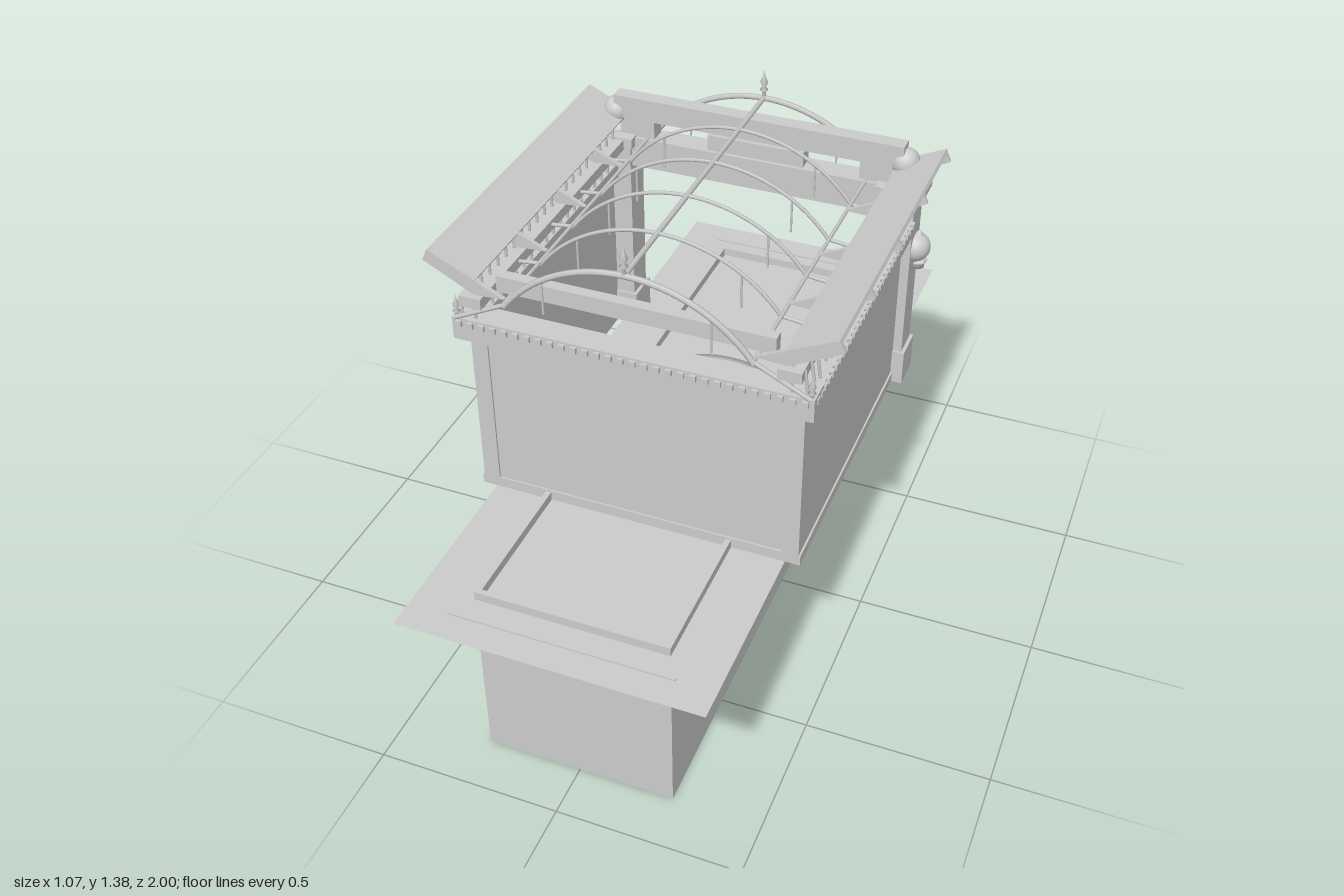
import * as THREE from 'three';

const grey = new THREE.MeshStandardMaterial({ color: 0xcccccc, side: THREE.DoubleSide });

export function createModel() {
  const model = new THREE.Group();
  const add = (name, geo, x = 0, y = 0, z = 0, parent = model) => {
    const m = new THREE.Mesh(geo, grey);
    m.name = name;
    m.position.set(x, y, z);
    parent.add(m);
    return m;
  };
  // box given by its limits on each axis
  const box = (name, x0, x1, y0, y1, z0, z1) =>
    add(name, new THREE.BoxGeometry(Math.abs(x1 - x0), y1 - y0, z1 - z0), (x0 + x1) / 2, (y0 + y1) / 2, (z0 + z1) / 2);
  const rod = (name, a, b, r, sides = 6) => {
    const p = new THREE.Vector3(...a), d = new THREE.Vector3(...b).sub(p);
    const m = add(name, new THREE.CylinderGeometry(r, r, d.length(), sides));
    m.position.copy(p).addScaledVector(d, 0.5);
    m.quaternion.setFromUnitVectors(new THREE.Vector3(0, 1, 0), d.normalize());
    return m;
  };
  const lathe = (name, pts, x, y, z, sides = 16) =>
    add(name, new THREE.LatheGeometry(pts.map(p => new THREE.Vector2(...p)), sides), x, y, z);
  const finial = (x, y, z, s = 1) =>
    lathe('finial', [[0.006, 0], [0.006, 0.015], [0.012, 0.02], [0.005, 0.028], [0.011, 0.042], [0.004, 0.06], [0, 0.08]]
      .map(p => [p[0] * s, p[1] * s]), x, y, z, 8);

  const floorY = 0.52, sides = [-1, 1];

  // ground sheet and the open-bottomed pit whose walls rise as a kerb
  const sheet = add('groundSheet', new THREE.PlaneGeometry(0.81, 2), 0, floorY, 0);
  sheet.rotation.x = -Math.PI / 2;
  for (const s of sides) {
    box('pitSideWall', s * 0.245, s * 0.26, 0, 0.545, -0.855, 0.855);
    box('pitEndWall', -0.245, 0.245, 0, 0.545, s > 0 ? 0.84 : -0.855, s > 0 ? 0.855 : -0.84);
    box('groundStrip', -0.3, 0.3, floorY, floorY + 0.004, s * 0.92 - 0.004, s * 0.92 + 0.004);
    box('pitLedge', s * 0.205, s * 0.245, 0.36, 0.38, -0.84, 0.84);
    for (const z of [-0.3, 0.25]) box('pitBracket', s * 0.18, s * 0.245, 0.43, 0.45, z - 0.12, z + 0.12);
    rod('ladderRail', [s * 0.05, 0.03, 0.825], [s * 0.05, 0.5, 0.825], 0.005);
  }
  for (let i = 0; i < 7; i++) rod('ladderRung', [-0.05, 0.08 + i * 0.065, 0.825], [0.05, 0.08 + i * 0.065, 0.825], 0.004);

  // round grille on the floor
  lathe('grilleRim', [[0.225, 0.525], [0.25, 0.525], [0.25, 0.575], [0.225, 0.575], [0.225, 0.525]], 0, 0, 0, 40);
  for (const r of [0.03, 0.07, 0.105, 0.14, 0.185]) {
    const ring = add('grilleRing', new THREE.TorusGeometry(r, 0.003, 4, 36), 0, 0.56, 0);
    ring.rotation.x = Math.PI / 2;
  }
  for (let i = 0; i < 12; i++) {
    const a = i * Math.PI / 6;
    rod('grilleSpoke', [0, 0.56, 0], [0.23 * Math.cos(a), 0.56, 0.23 * Math.sin(a)], 0.003, 4);
  }

  // walls, baseboards and cornice; the back stays open
  box('frontWall', -0.44, 0.44, floorY, 1.01, 0.425, 0.445);
  box('frontBaseboard', -0.44, 0.44, floorY, 0.55, 0.445, 0.45);
  box('frontCornice', -0.47, 0.47, 1.005, 1.07, 0.41, 0.48);
  for (const s of sides) {
    box('sideWall', s * 0.42, s * 0.44, floorY, 1.01, -0.39, 0.445);
    box('sideBaseboard', s * 0.44, s * 0.445, floorY, 0.55, -0.39, 0.45);
    box('frontPilaster', s * 0.395, s * 0.44, 0.55, 1.005, 0.445, 0.45);
    box('sideCornice', s * 0.405, s * 0.465, 1.005, 1.06, -0.39, 0.41);
    const drop = add('corniceDrop', new THREE.ConeGeometry(0.014, 0.014, 8), s * 0.137, 0.999, 0.462);
    drop.rotation.x = Math.PI;
  }

  // dentils round the cornice and the back lintel
  for (let i = 0; i < 30; i++) {
    const x = -0.45 + i * 0.031;
    box('frontDentil', x - 0.008, x + 0.008, 1.048, 1.064, 0.48, 0.488);
    if (Math.abs(x) < 0.35) box('backDentil', x - 0.008, x + 0.008, 1.06, 1.076, -0.48, -0.47);
    const z = -0.375 + i * 0.0285;
    for (const s of sides) box('sideDentil', s * 0.465, s * 0.473, 1.045, 1.06, z - 0.008, z + 0.008);
  }

  // back posts with foot, capital, globes and lantern
  for (const s of sides) {
    box('postFoot', s * 0.355, s * 0.475, floorY, 0.625, -0.482, -0.38);
    box('post', s * 0.365, s * 0.465, 0.625, 1.12, -0.475, -0.387);
    box('postCapital', s * 0.355, s * 0.485, 1.12, 1.15, -0.49, -0.375);
    lathe('topGlobeStand', [[0.03, 0], [0.03, 0.012], [0.015, 0.022], [0.015, 0.035]], s * 0.42, 1.15, -0.432);
    add('topGlobe', new THREE.SphereGeometry(0.04, 18, 12), s * 0.42, 1.21, -0.432);
    lathe('sideGlobeStand', [[0, 0], [0.022, 0], [0.022, 0.012], [0.03, 0.02]], s * 0.475, 0.895, -0.432);
    add('sideGlobe', new THREE.SphereGeometry(0.042, 18, 12), s * 0.468, 0.955, -0.432);
    lathe('sideGlobeCap', [[0.014, 0], [0.008, 0.012], [0, 0.02]], s * 0.475, 0.99, -0.432, 10);
    box('lantern', s * 0.4, s * 0.44, 0.84, 0.93, -0.52, -0.475);
    const cap = add('lanternCap', new THREE.ConeGeometry(0.032, 0.018, 4), s * 0.42, 0.939, -0.497);
    cap.rotation.y = Math.PI / 4;
  }

  // back lintel with raised middle, and the cross beams
  box('backLintel', -0.365, 0.365, 1.055, 1.145, -0.47, -0.4);
  box('lintelBlock', -0.14, 0.14, 1.145, 1.19, -0.46, -0.41);
  box('backBeam', -0.42, 0.42, 1.2, 1.265, -0.45, -0.405);
  box('frontBeam', -0.36, 0.36, 1.145, 1.19, 0.41, 0.44);
  for (const s of sides) box('lintelSideBlock', s * 0.3, s * 0.4, 1.145, 1.2, -0.46, -0.41);

  // side rails on small balusters, with tilted flaps carried on ribs
  const ribShape = new THREE.Shape([[0.535, 1.22], [0.52, 1.25], [0.32, 1.155], [0.4, 1.15]].map(p => new THREE.Vector2(...p)));
  const flapShape = new THREE.Shape([[0.525, 1.243], [0.52, 1.252], [0.395, 1.193], [0.4, 1.184]].map(p => new THREE.Vector2(...p)));
  const extrude = (shape, depth) => new THREE.ExtrudeGeometry(shape, { depth, bevelEnabled: false });
  for (const s of sides) {
    const flap = new THREE.Group();
    flap.name = s > 0 ? 'leftFlap' : 'rightFlap';
    if (s < 0) flap.rotation.y = Math.PI;
    model.add(flap);
    // turned half round, the right flap needs its depth offset swapped
    const z0 = s > 0 ? -0.465 : -0.48;
    add('flapSheet', extrude(flapShape, 0.945), 0, 0, z0, flap);
    for (let i = 0; i < 5; i++) add('flapRib', extrude(ribShape, 0.012), 0, 0, z0 + i * 0.233, flap);
    box('sideRail', s * 0.38, s * 0.44, 1.115, 1.145, -0.39, 0.49);
    for (let i = 0; i < 20; i++) {
      const z = -0.37 + i * 0.044;
      rod('baluster', [s * 0.41, 1.055, z], [s * 0.41, 1.175, z], 0.004);
      rod('railPin', [s * 0.45, 1.08 - (i % 2) * 0.02, z], [s * 0.44, 1.14, z], 0.004);
    }
  }

  // six roof arches, ridge bar and finials
  const R = 0.393, half = Math.asin(0.32 / R), cy = 1.3 - R;
  class Arch extends THREE.Curve {
    getPoint(t, v = new THREE.Vector3()) {
      const a = (t * 2 - 1) * half;
      return v.set(R * Math.sin(a), cy + R * Math.cos(a), 0);
    }
  }
  for (const z of [-0.475, -0.28, -0.09, 0.09, 0.28, 0.48]) {
    const end = Math.abs(z) > 0.4;
    add(end ? 'endArch' : 'roofArch', new THREE.TubeGeometry(new Arch(), 32, end ? 0.008 : 0.005, 6), 0, 0, z);
    for (const s of sides) {
      rod('archHanger', [s * 0.215, 1.14, z], [s * 0.215, cy + Math.sqrt(R * R - 0.215 ** 2), z], 0.003);
      if (end) rod('archFootBar', [s * 0.32, 1.14, z], [s * 0.46, 1.07, z], 0.006);
      else rod('archStay', [s * 0.32, 1.14, z], [s * 0.4, 1.13, z], 0.005);
    }
    if (end) finial(0, 1.305, z);
  }
  rod('ridgeBar', [0, 1.3, -0.475], [0, 1.3, 0.48], 0.007);
  for (const s of sides) {
    rod('archPurlin', [s * 0.32, 1.145, -0.475], [s * 0.32, 1.145, 0.48], 0.005);
    finial(s * 0.46, 1.065, 0.47, 0.85);
  }
  return model;
}
